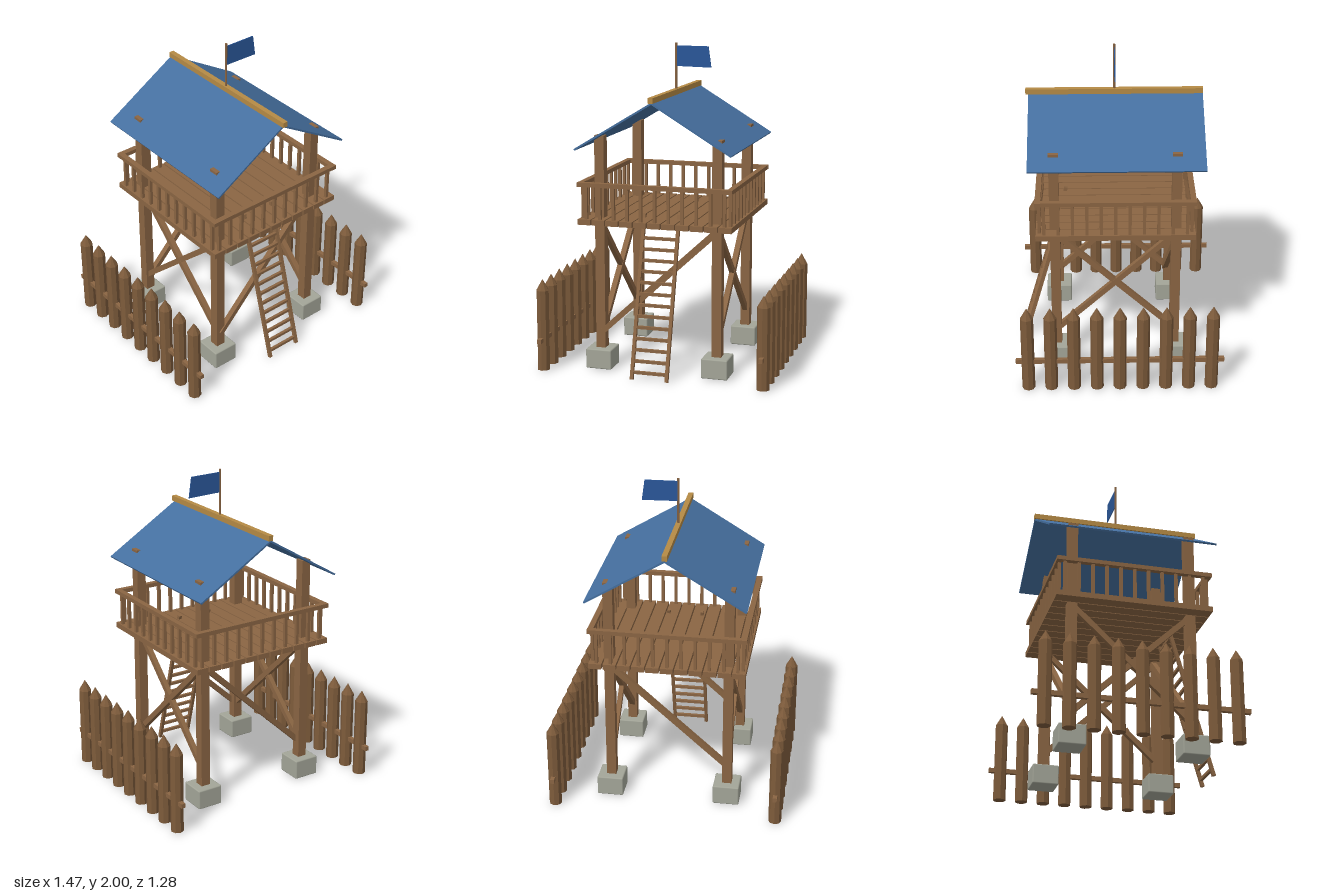
import * as THREE from 'three';
import { RoundedBoxGeometry } from 'three/addons/geometries/RoundedBoxGeometry.js';

const mat = (name, color, extra = {}) => {
  const m = new THREE.MeshStandardMaterial({ color, ...extra });
  m.name = name;
  return m;
};

export function createModel() {
  const wood = mat('wood', 0x8a6543);
  const stakeWood = mat('stake wood', 0x7d5b3b, { flatShading: true });
  const stone = mat('stone', 0xa3a598);
  const roofBlue = mat('roof cloth', 0x456f9f, { side: THREE.DoubleSide });
  const flagBlue = mat('flag cloth', 0x2a5799, { side: THREE.DoubleSide });
  const gold = mat('ridge wood', 0xb58a45);

  const model = new THREE.Group();
  model.name = 'watchtower';
  // The tower stands slightly forward of the fences
  const tower = new THREE.Group();
  tower.name = 'tower';
  tower.position.z = 0.022;
  model.add(tower);

  const add = (parent, name, geo, material, x = 0, y = 0, z = 0) => {
    const m = new THREE.Mesh(geo, material);
    m.name = name;
    m.position.set(x, y, z);
    parent.add(m);
    return m;
  };
  const box = (parent, name, w, h, d, material, x, y, z) =>
    add(parent, name, new THREE.BoxGeometry(w, h, d), material, x, y, z);
  // Square beam running between two points
  const beam = (parent, name, a, b, w, d) => {
    const from = new THREE.Vector3(...a), to = new THREE.Vector3(...b);
    const m = box(parent, name, w, d, from.distanceTo(to), wood, 0, 0, 0);
    m.position.addVectors(from, to).multiplyScalar(0.5);
    const dir = to.clone().sub(from).normalize();
    m.quaternion.setFromUnitVectors(new THREE.Vector3(0, 0, 1), dir);
    if (Math.abs(dir.x) > 0.1) m.lookAt(to);
    return m;
  };

  // Posts on stone footings
  const P = 0.37;
  for (const sx of [-1, 1]) for (const sz of [-1, 1]) {
    add(tower, 'footing', new RoundedBoxGeometry(0.165, 0.125, 0.165, 1, 0.008), stone, sx * P, 0.068, sz * P);
    box(tower, 'post', 0.06, 1.33, 0.06, wood, sx * P, 0.795, sz * P);
  }

  // Diagonal braces: single at front and back, crossed at the sides
  const lo = 0.225, hi = 0.915;
  for (const s of [-1, 1]) {
    beam(tower, 'brace', [-P, lo, s * P], [P, hi, s * P], 0.034, 0.034);
    beam(tower, 'sideBrace', [s * P, lo, P], [s * P, hi, -P], 0.034, 0.034);
    beam(tower, 'sideBrace', [s * P, lo, -P], [s * P, hi, P], 0.03, 0.034);
  }

  // Deck planks
  const pitch = 0.97 / 11;
  for (let i = -5; i <= 5; i++)
    box(tower, 'deckPlank', pitch - 0.008, 0.034, 0.97, wood, i * pitch, 0.938, 0);

  // Railing: one side repeated four times
  for (let k = 0; k < 4; k++) {
    const side = new THREE.Group();
    side.name = 'railing';
    side.rotation.y = k * Math.PI / 2;
    tower.add(side);
    box(side, 'handrail', 0.97, 0.026, 0.034, wood, 0, 1.168, 0.467);
    for (let i = -5; i <= 5; i++)
      box(side, 'baluster', 0.019, 0.205, 0.019, wood, i * 0.0866, 1.055, 0.462);
  }

  // Leaning ladder
  const bottom = [0.005, 0.583], top = [0.98, 0.307];
  for (const s of [-1, 1])
    beam(tower, 'ladderRail', [s * 0.11, ...bottom], [s * 0.11, ...top], 0.02, 0.022);
  for (let i = 0; i < 14; i++) {
    const y = 0.048 + i * 0.0655;
    const t = (y - bottom[0]) / (top[0] - bottom[0]);
    const z = bottom[1] + t * (top[1] - bottom[1]);
    box(tower, 'ladderRung', 0.22, 0.018, 0.018, wood, 0, y, z);
  }

  // Pitched roof with a ridge beam
  const run = 0.485, drop = 0.293;
  for (const s of [-1, 1]) {
    const sheet = box(tower, 'roofSheet', Math.hypot(run, drop), 0.011, 1.062, roofBlue,
      s * run / 2, 1.679 - drop / 2, -0.008);
    sheet.rotation.z = -s * Math.atan2(drop, run);
  }
  box(tower, 'ridgeBeam', 0.032, 0.033, 1.08, gold, 0, 1.698, 0);

  // Flag on its pole
  add(tower, 'flagPole', new THREE.CylinderGeometry(0.007, 0.007, 0.3, 8), wood, 0, 1.85, 0);
  const cloth = new THREE.Shape([[0, 1.855], [0.225, 1.85], [0.207, 1.98], [0, 1.982]]
    .map(p => new THREE.Vector2(...p)));
  add(tower, 'flag', new THREE.ExtrudeGeometry(cloth, { depth: 0.005, bevelEnabled: false }), flagBlue, 0, 0, -0.0025);

  // Stake fences on both sides
  const stakeProfile = [[0, 0.005], [0.04, 0.005], [0.04, 0.51], [0, 0.58]].map(p => new THREE.Vector2(...p));
  const stakeGeo = new THREE.LatheGeometry(stakeProfile, 8);
  for (const s of [-1, 1]) {
    const fence = new THREE.Group();
    fence.name = s > 0 ? 'leftFence' : 'rightFence';
    fence.position.x = s * 0.695;
    model.add(fence);
    for (let i = -4; i <= 4; i++) add(fence, 'stake', stakeGeo, stakeWood, 0, 0, i * 0.1413);
    box(fence, 'fenceRail', 0.026, 0.028, 1.28, wood, 0, 0.2, 0);
  }
  return model;
}
